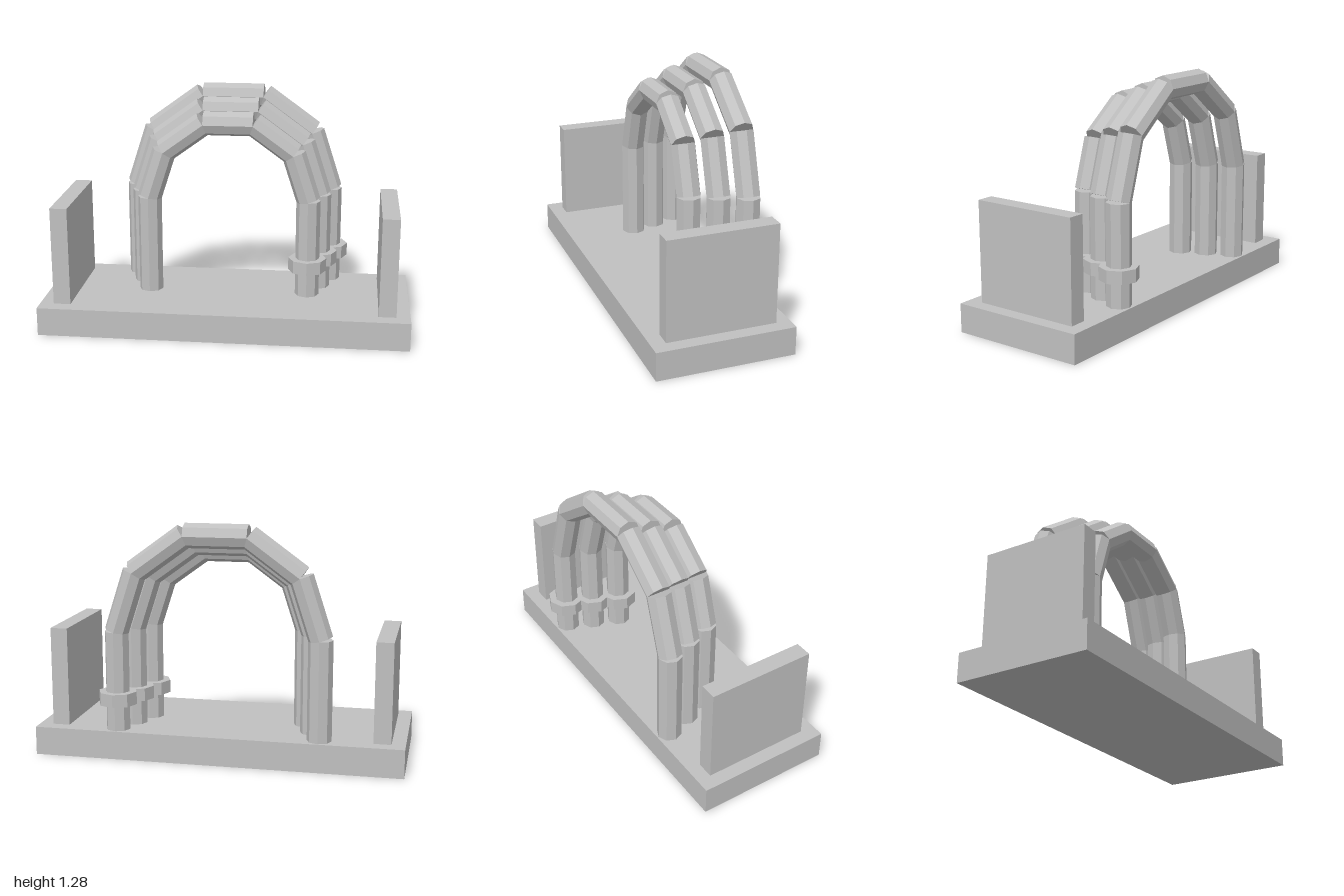
import * as THREE from 'three';

export function createModel() {
  const model = new THREE.Group();
  const grey = new THREE.MeshStandardMaterial({ color: 0xc0c0c0, flatShading: true });
  grey.name = 'plain grey';

  const BASE_TOP = 0.155, SPRING = 0.695; // floor level and start of the arches
  const PIPE_R = 0.066, CLAMP_R = 0.105, STEPS = 5;

  function add(parent, name, geometry, x, y, z) {
    const mesh = new THREE.Mesh(geometry, grey);
    mesh.name = name;
    mesh.position.set(x, y, z);
    parent.add(mesh);
    return mesh;
  }
  const octagon = (r, h) => new THREE.CylinderGeometry(r, r, h, 8);

  // Base slab and the two end walls
  add(model, 'base', new THREE.BoxGeometry(2, BASE_TOP, 0.745), 0, BASE_TOP / 2, 0.0175);
  for (const side of [-1, 1]) {
    add(model, side > 0 ? 'leftWall' : 'rightWall',
      new THREE.BoxGeometry(0.093, SPRING - BASE_TOP, 0.59),
      side * 0.879, (SPRING + BASE_TOP) / 2, 0.016);
  }

  // Three octagonal pipe arches, growing towards the back
  const arches = [
    { name: 'frontArch', radius: 0.438, z: 0.004 },
    { name: 'middleArch', radius: 0.493, z: -0.139 },
    { name: 'backArch', radius: 0.549, z: -0.281 },
  ];
  const clamp = new THREE.Group();
  clamp.name = 'clamp';
  model.add(clamp);

  for (const { name, radius, z } of arches) {
    const arch = new THREE.Group();
    arch.name = name;
    model.add(arch);

    // Straight legs
    for (const side of [-1, 1]) {
      add(arch, side > 0 ? 'leftLeg' : 'rightLeg', octagon(PIPE_R, SPRING - BASE_TOP),
        side * radius, (SPRING + BASE_TOP) / 2, z);
    }

    // Straight chords around the half circle, open at the outer joints
    const half = Math.PI / STEPS / 2;
    for (let i = 0; i < STEPS; i++) {
      const a = (2 * i + 1) * half;
      const d = radius * Math.cos(half);
      const chord = add(arch, 'archSegment', octagon(PIPE_R, 2 * radius * Math.sin(half)),
        d * Math.cos(a), SPRING + d * Math.sin(a), z);
      chord.rotation.z = a;
    }

    // Collar around the left leg
    add(clamp, 'collar', octagon(CLAMP_R, 0.07), radius, 0.331, z);
  }
  return model;
}
